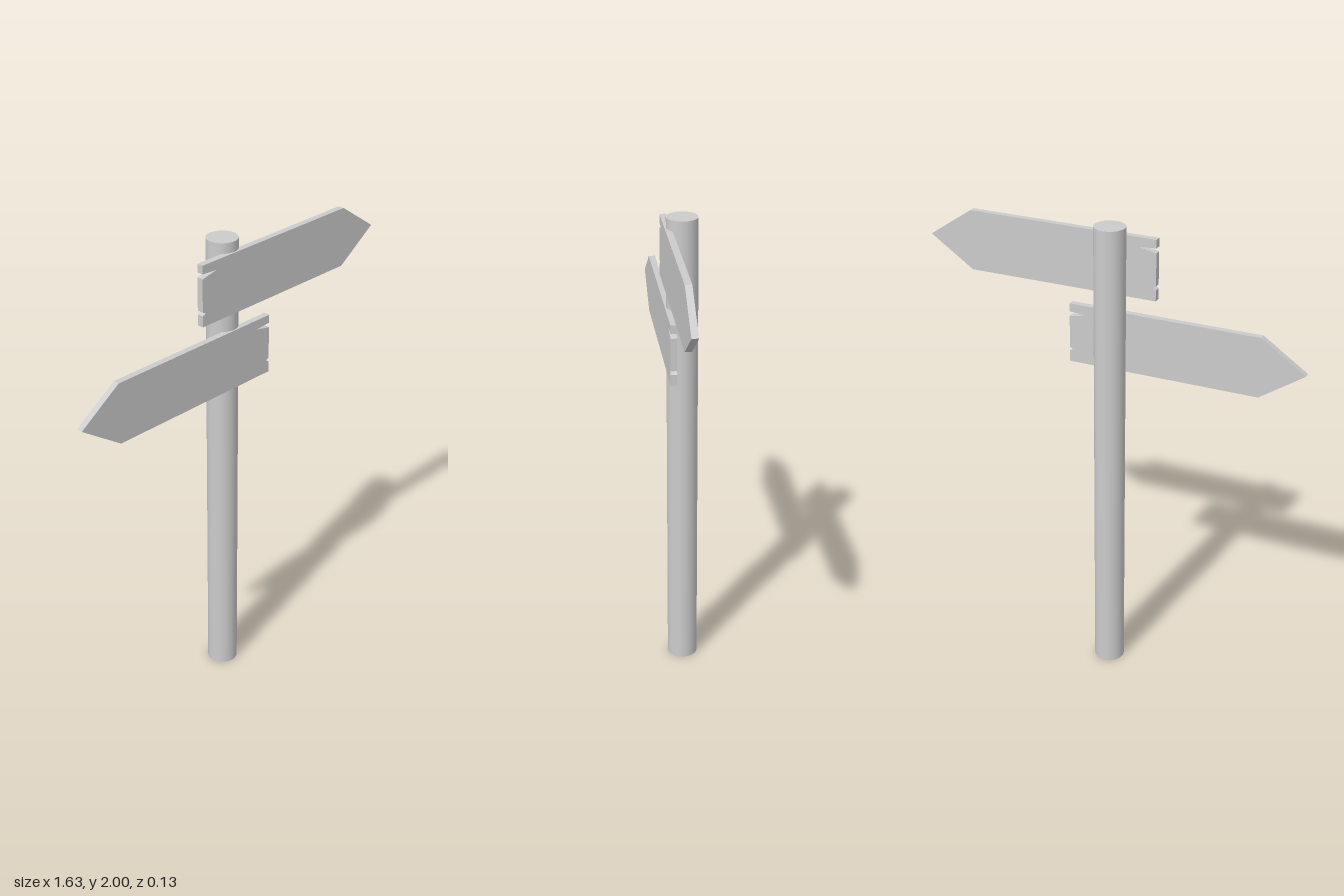
import * as THREE from 'three';

const material = new THREE.MeshStandardMaterial({ color: 0xcccccc });

// Arrow board pointing to +x (dir = 1) or -x (dir = -1), with a split, weathered butt end
function makeBoard(name, dir, y) {
  const outline = [
    [-0.188, -0.127], [0.628, -0.127], [0.815, 0], [0.628, 0.127], [-0.188, 0.127],
    [-0.188, 0.092], [-0.113, 0.087], [-0.188, 0.072], // long crack
    [-0.188, -0.065], [-0.172, -0.072], [-0.188, -0.081], // small nick
  ];
  const shape = new THREE.Shape(outline.map(([x, py]) => new THREE.Vector2(x * dir, py)));
  const geometry = new THREE.ExtrudeGeometry(shape, { depth: 0.027, bevelEnabled: false });
  const board = new THREE.Mesh(geometry, material);
  board.name = name;
  board.position.set(0, y, 0.04);
  return board;
}

export function createModel() {
  const model = new THREE.Group();
  model.name = 'signpost';

  // Round post
  const post = new THREE.Mesh(new THREE.CylinderGeometry(0.064, 0.064, 2, 32), material);
  post.name = 'post';
  post.position.set(-0.01, 1, -0.003);
  model.add(post);

  // Two boards on the front, pointing opposite ways
  model.add(makeBoard('upperBoard', 1, 1.83));
  model.add(makeBoard('lowerBoard', -1, 1.502));
  return model;
}
